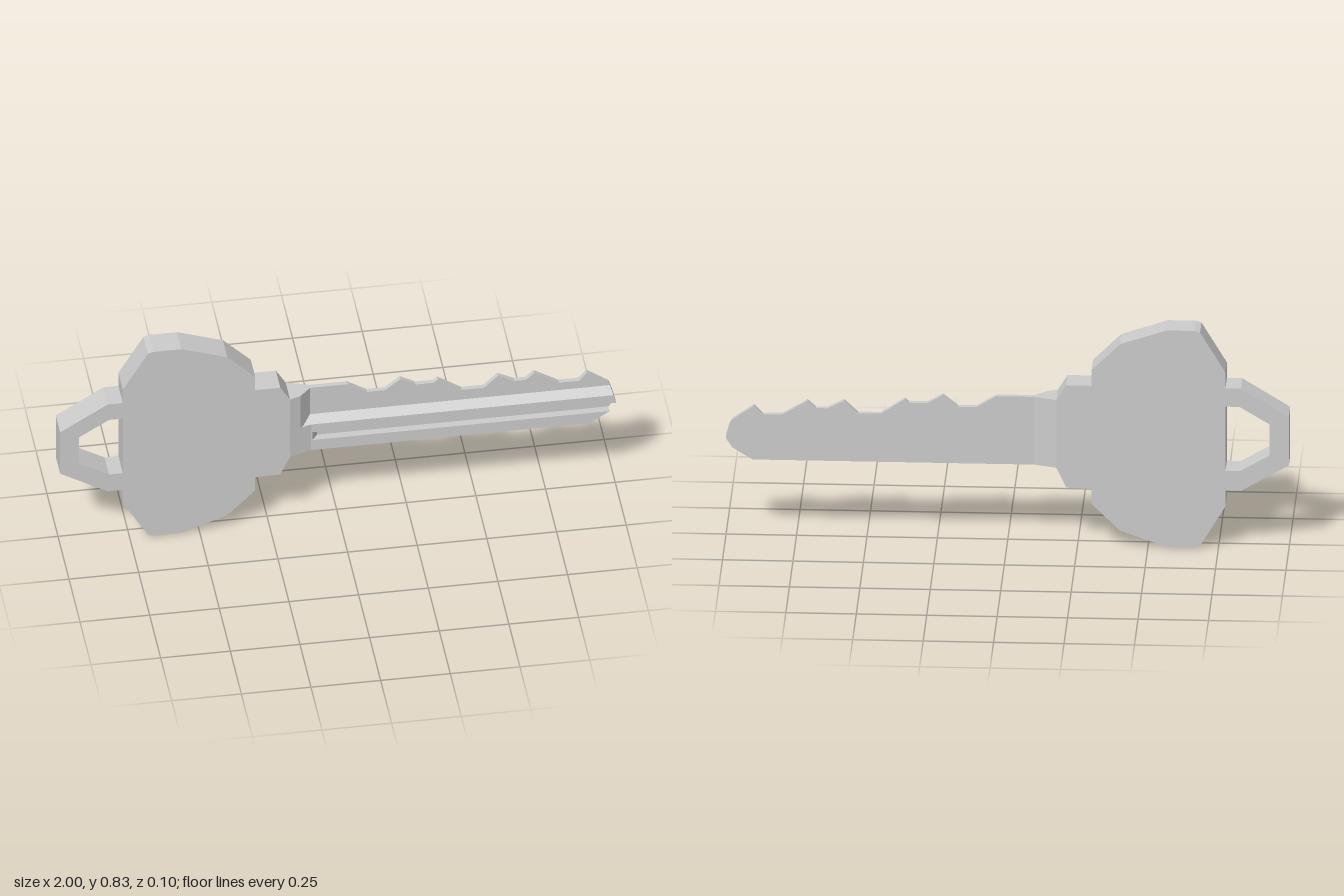
import * as THREE from 'three';

const material = new THREE.MeshStandardMaterial({ color: 0xcccccc, flatShading: true });
const shapeOf = (pts) => new THREE.Shape(pts.map(([x, y]) => new THREE.Vector2(x, y)));
const extrude = (shape, depth) => new THREE.ExtrudeGeometry(shape, { depth, bevelEnabled: false });

// Plate in the XY plane between two z values
function plate(shape, z0, z1) {
  return extrude(shape, z1 - z0).translate(0, 0, z0);
}

// Plan outline of (x, z) points raised between two heights
function upright(pts, y0, y1) {
  const shape = shapeOf(pts.map(([x, z]) => [x, -z]));
  return extrude(shape, y1 - y0).rotateX(-Math.PI / 2).translate(0, y0, 0);
}

// x of the blade's pointed end at a given height
const TIP = [[0.295, 0.905], [0.34, 0.977], [0.375, 1], [0.41, 0.99], [0.435, 0.982]];
function tipX(y) {
  for (let i = 1; i < TIP.length; i++) {
    const [y0, x0] = TIP[i - 1], [y1, x1] = TIP[i];
    if (y <= y1 + 1e-4) return x0 + (x1 - x0) * (y - y0) / (y1 - y0);
  }
  return TIP[TIP.length - 1][1];
}

export function createModel() {
  const key = new THREE.Group();
  key.name = 'key';
  const add = (name, geometry) => {
    const mesh = new THREE.Mesh(geometry, material);
    mesh.name = name;
    key.add(mesh);
  };

  const back = -0.023, front = 0.023, web = -0.005;

  // Head with shoulders and the keyring loop, one flat plate
  const head = shapeOf([
    [-0.175, 0.295], [-0.175, 0.553], [-0.21, 0.61], [-0.3, 0.61], [-0.3, 0.67],
    [-0.4, 0.77], [-0.565, 0.826], [-0.665, 0.826], [-0.685, 0.82], [-0.775, 0.67],
    [-0.775, 0.61], [-0.83, 0.61], [-1, 0.505], [-1, 0.32], [-0.83, 0.22],
    [-0.775, 0.22], [-0.775, 0.16], [-0.685, 0.008], [-0.665, 0], [-0.565, 0.002],
    [-0.4, 0.06], [-0.3, 0.16], [-0.3, 0.22], [-0.21, 0.22],
  ]);
  head.holes.push(shapeOf([
    [-0.775, 0.295], [-0.825, 0.295], [-0.932, 0.357], [-0.932, 0.475],
    [-0.825, 0.54], [-0.775, 0.54],
  ]));
  add('head', plate(head, -0.05, 0.05));

  // Collar tapering from the head to the thin blade
  add('lowerCollar', upright(
    [[-0.175, -0.05], [-0.175, 0.05], [-0.095, front], [-0.095, back]], 0.295, 0.41));
  add('upperCollar', upright(
    [[-0.175, -0.05], [-0.175, 0.05], [-0.135, 0.036], [-0.095, web], [-0.095, back]], 0.41, 0.553));

  // Grooved lower blade: (y, z) section run along x, with a shaped tip
  const section = [
    [0.295, back], [0.295, front], [0.34, front], [0.34, web], [0.375, web], [0.375, front],
    [0.41, front], [0.435, web], [0.435, back], [0.41, back], [0.375, back], [0.34, back],
  ];
  const blade = extrude(shapeOf(section.map(([y, z]) => [-z, y])), 1)
    .rotateY(Math.PI / 2);
  const p = blade.attributes.position;
  for (let i = 0; i < p.count; i++) {
    p.setX(i, p.getX(i) > 0.5 ? tipX(p.getY(i)) : -0.125);
  }
  blade.computeVertexNormals();
  add('groovedBlade', blade);

  // Ramp closing the groove beside the collar
  add('grooveEnd', upright(
    [[-0.1, web], [-0.1, front], [-0.09, front], [-0.07, web]], 0.34, 0.375));

  // Thin toothed upper blade
  add('teeth', plate(shapeOf([
    [-0.1, 0.435], [0.982, 0.435], [0.978, 0.445], [0.9, 0.5], [0.87, 0.468], [0.8, 0.468],
    [0.71, 0.522], [0.68, 0.495], [0.64, 0.495], [0.58, 0.525], [0.53, 0.478],
    [0.45, 0.478], [0.365, 0.535], [0.35, 0.522], [0.285, 0.522], [0.23, 0.553],
    [0.175, 0.51], [0.11, 0.51], [0.04, 0.553], [-0.1, 0.553],
  ]), back, web));

  return key;
}
